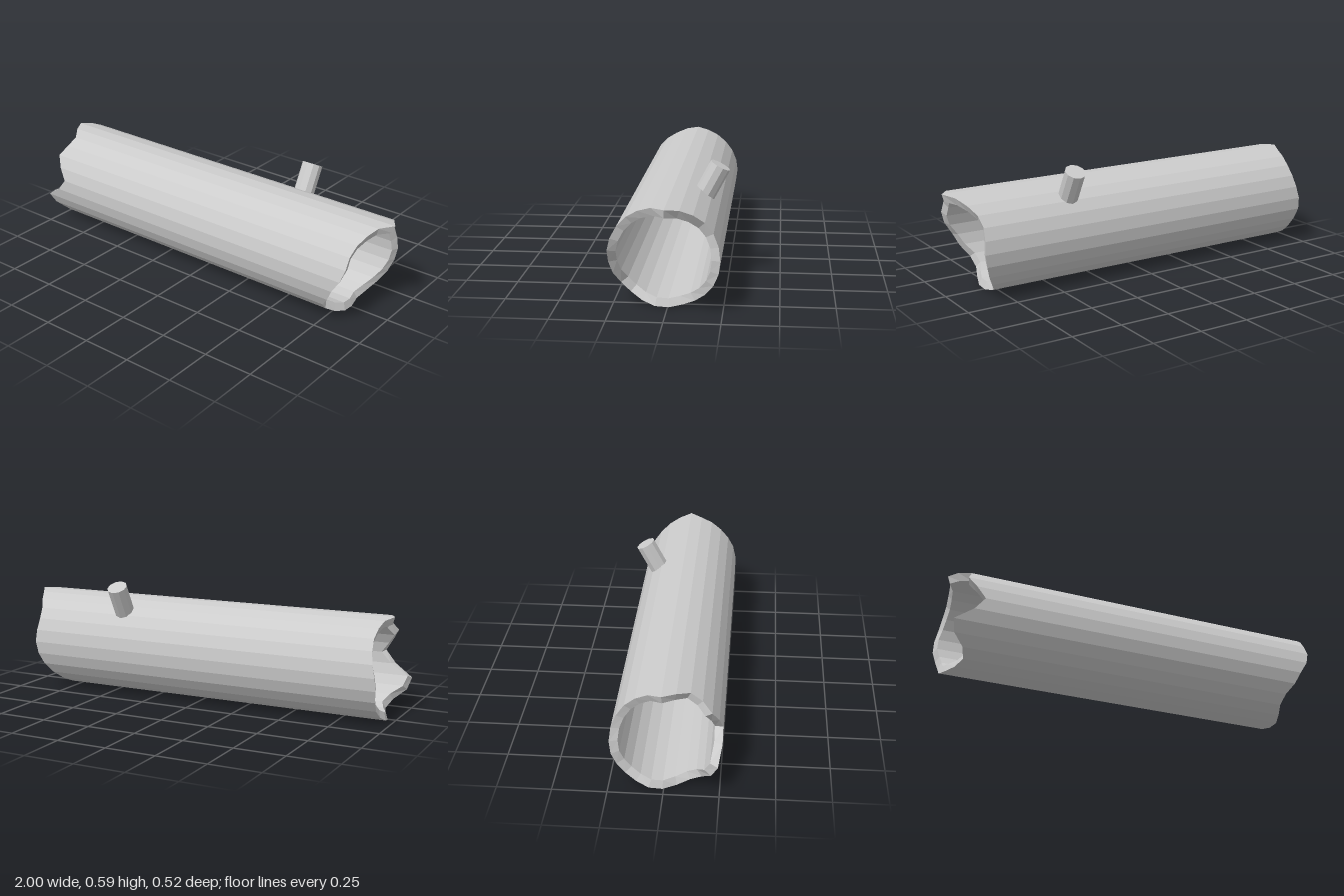
import * as THREE from 'three';

const SIDES = 25, OUTER = 0.25, INNER = 0.212, CY = 0.25, CZ = 0.01;

// Jagged break of each end, one x per side, from the back over the top to the front and under
const RIGHT_END = [0.9, 0.895, 0.89, 0.9, 0.93, 0.96, 1, 0.95, 0.93, 0.91, 0.9, 0.9, 0.88,
  0.84, 0.81, 0.77, 0.76, 0.78, 0.8, 0.8, 0.79, 0.81, 0.84, 0.87, 0.89];
const LEFT_END = [-0.965, -0.95, -0.94, -0.935, -0.94, -0.95, -0.98, -0.945, -0.9, -0.91, -0.935, -0.9, -0.86,
  -0.91, -1, -0.985, -0.93, -0.91, -0.93, -0.96, -0.97, -0.96, -0.955, -0.96, -0.97];

// Closed hollow shell: outer wall, right rim, inner wall, left rim
function logShell() {
  const inset = 0.012;
  const rings = [
    { r: OUTER, x: k => LEFT_END[k] },
    { r: OUTER, x: k => RIGHT_END[k] },
    { r: INNER, x: k => RIGHT_END[k] - inset },
    { r: INNER, x: k => LEFT_END[k] + inset },
  ];
  const positions = [], indices = [];
  for (const ring of rings) {
    for (let k = 0; k < SIDES; k++) {
      const a = (k / SIDES) * Math.PI * 2;
      positions.push(ring.x(k), CY + ring.r * Math.sin(a), CZ - ring.r * Math.cos(a));
    }
  }
  for (let i = 0; i < 4; i++) {
    const here = i * SIDES, next = ((i + 1) % 4) * SIDES;
    for (let k = 0; k < SIDES; k++) {
      const n = (k + 1) % SIDES;
      indices.push(here + k, here + n, next + k, here + n, next + n, next + k);
    }
  }
  const geometry = new THREE.BufferGeometry();
  geometry.setAttribute('position', new THREE.Float32BufferAttribute(positions, 3));
  geometry.setIndex(indices);
  geometry.computeVertexNormals();
  return geometry;
}

export function createModel() {
  const group = new THREE.Group();
  group.name = 'hollowLog';
  const material = new THREE.MeshStandardMaterial({ color: 0xcccccc, flatShading: true });

  const trunk = new THREE.Mesh(logShell(), material);
  trunk.name = 'trunk';
  group.add(trunk);

  // Branch stub leaning up and back, rooted inside the wall
  const root = new THREE.Vector3(0.41, 0.425, -0.135);
  const tip = new THREE.Vector3(0.41, 0.57, -0.212);
  const axis = tip.clone().sub(root);
  const branch = new THREE.Mesh(new THREE.CylinderGeometry(0.051, 0.051, axis.length(), 10), material);
  branch.name = 'branchStub';
  branch.position.copy(root).add(tip).multiplyScalar(0.5);
  branch.quaternion.setFromUnitVectors(new THREE.Vector3(0, 1, 0), axis.normalize());
  group.add(branch);

  return group;
}
